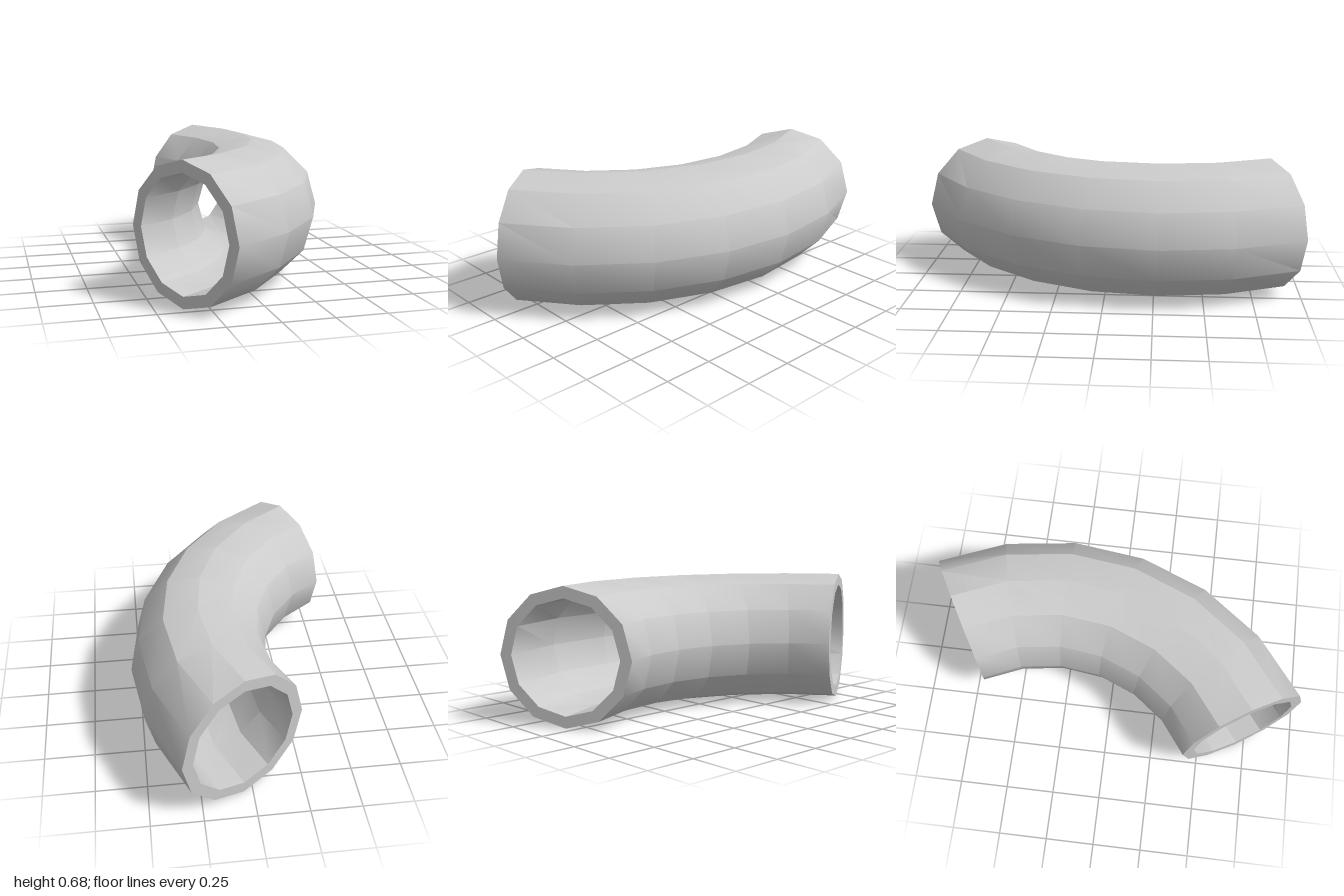
import * as THREE from 'three';
import { toCreasedNormals } from 'three/addons/utils/BufferGeometryUtils.js';

const SIDES = 12, STEPS = 6;            // faces around the pipe, segments along the bend
const BEND = 1.1195;                    // centreline radius
const OUTER = 0.3415, INNER = 0.283;    // pipe radii
const CX = -0.922, CZ = -0.27;          // centre of the bend
const MID = 15, SWEEP = 90;             // middle direction and sweep in degrees

// One cross-section of the pipe at a step along the bend
function ring(step, radius) {
  const points = [];
  for (let i = 0; i < SIDES; i++) {
    const t = (i / SIDES) * Math.PI * 2;
    const r = BEND + radius * Math.cos(t);
    // the inside of the bend sweeps very slightly further than the outside
    const skew = 1 + 0.03 * (BEND + OUTER - r);
    const a = THREE.MathUtils.degToRad(MID + SWEEP * (step / STEPS - 0.5) * skew);
    points.push([CX + r * Math.cos(a), OUTER + radius * Math.sin(t), CZ + r * Math.sin(a)]);
  }
  return points;
}

// Surface joining consecutive rings
function loft(name, rings, material) {
  const index = [];
  for (let k = 0; k < rings.length - 1; k++) {
    for (let i = 0; i < SIDES; i++) {
      const j = (i + 1) % SIDES;
      const a = k * SIDES + i, b = k * SIDES + j;
      const c = b + SIDES, d = a + SIDES;
      index.push(a, b, c, a, c, d);
    }
  }
  const geometry = new THREE.BufferGeometry();
  geometry.setAttribute('position', new THREE.Float32BufferAttribute(rings.flat(2), 3));
  geometry.setIndex(index);
  const mesh = new THREE.Mesh(toCreasedNormals(geometry, Math.PI / 6), material);
  mesh.name = name;
  return mesh;
}

export function createModel() {
  const group = new THREE.Group();
  group.name = 'pipeElbow';
  const material = new THREE.MeshStandardMaterial({ color: 0xcccccc });
  const steps = Array.from({ length: STEPS + 1 }, (_, k) => k);

  group.add(
    // outside and bore
    loft('outerWall', steps.map((k) => ring(k, OUTER)), material),
    loft('innerWall', steps.map((k) => ring(STEPS - k, INNER)), material),
    // flat rims closing the wall thickness at both ends
    loft('backRim', [ring(0, INNER), ring(0, OUTER)], material),
    loft('frontRim', [ring(STEPS, OUTER), ring(STEPS, INNER)], material),
  );
  return group;
}
